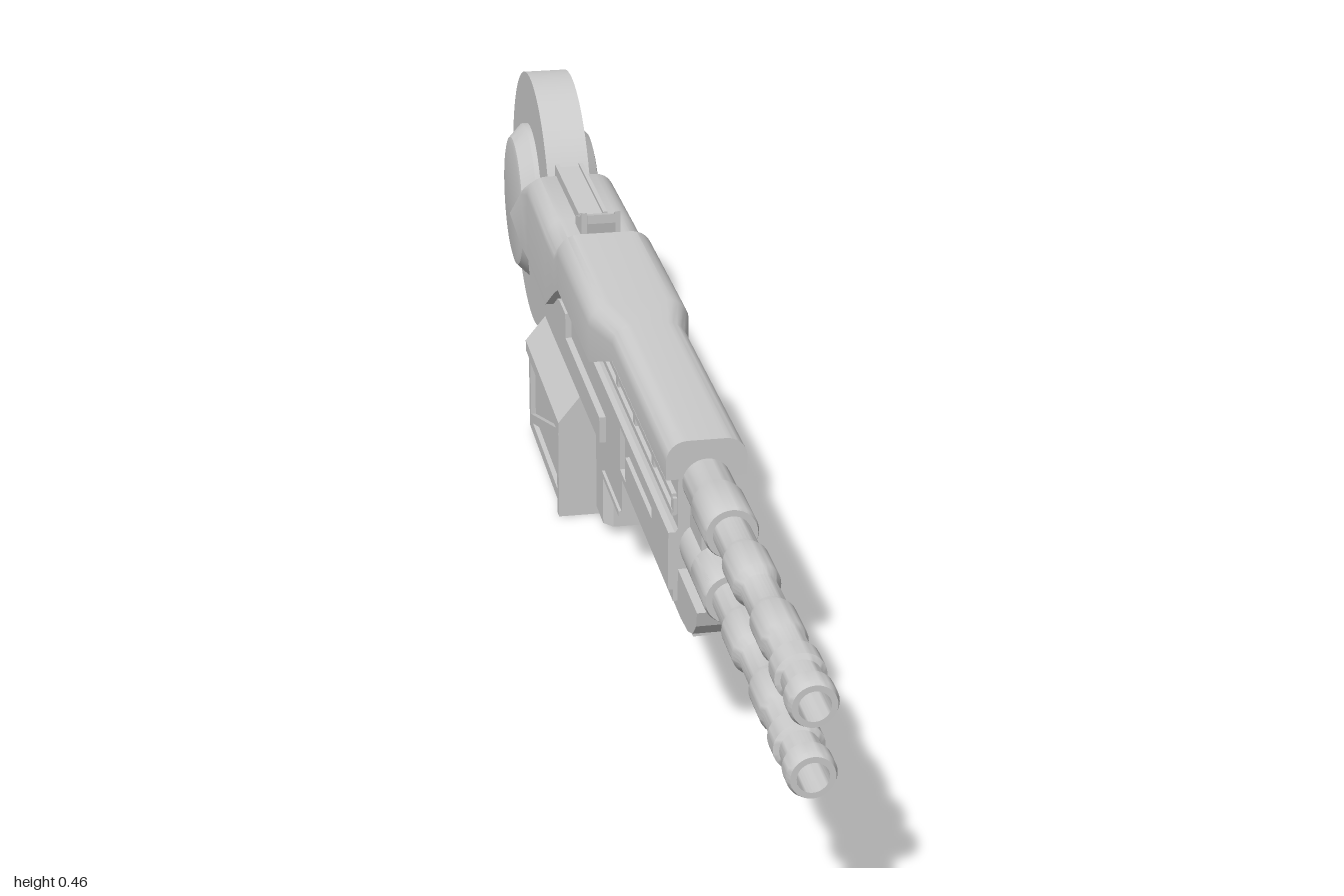
import * as THREE from 'three';
import { toCreasedNormals } from 'three/addons/utils/BufferGeometryUtils.js';

const mat = new THREE.MeshStandardMaterial({ color: 0xcccccc });

export function createModel() {
  const model = new THREE.Group();
  const add = (name, geo, x = 0, y = 0, z = 0) => {
    const m = new THREE.Mesh(geo, mat);
    m.name = name;
    m.position.set(x, y, z);
    model.add(m);
    return m;
  };
  // Box given by full width and its y and z ranges
  const box = (name, w, y0, y1, z0, z1, x = 0) =>
    add(name, new THREE.BoxGeometry(w, y1 - y0, z1 - z0), x, (y0 + y1) / 2, (z0 + z1) / 2);
  const poly = (pts) => new THREE.Shape(pts.map(([a, b]) => new THREE.Vector2(a, b)));
  // Side profile in (z, y), extruded across x
  const side = (name, pts, w, x = 0, holes = []) => {
    const s = poly(pts);
    s.holes = holes.map(poly);
    const g = new THREE.ExtrudeGeometry(s, { depth: w, bevelEnabled: false });
    g.rotateY(-Math.PI / 2);
    return add(name, g, x + w / 2);
  };
  // Half front profile in (x, y), mirrored and extruded along z
  const front = (name, half, z0, z1) => {
    const pts = [...half, ...half.map(([x, y]) => [-x, y]).reverse()];
    return add(name, new THREE.ExtrudeGeometry(poly(pts), { depth: z1 - z0, bevelEnabled: false }), 0, 0, z0);
  };
  // Loft of rounded-top sections [z, halfWidth, bottom, top, radius], front to back
  const loft = (name, sections) => {
    const pos = [], idx = [];
    const arc = 6, n = 2 * arc + 4;
    for (const [z, w, b, t, r] of sections) {
      const half = [[w, b]];
      for (let i = 0; i <= arc; i++) {
        const a = (i / arc) * Math.PI / 2;
        half.push([w - r + r * Math.cos(a), t - r + r * Math.sin(a)]);
      }
      for (const [x, y] of half) pos.push(x, y, z);
      for (const [x, y] of half.reverse()) pos.push(-x, y, z);
    }
    const last = (sections.length - 1) * n;
    for (let i = 0; i < last; i += n)
      for (let j = 0; j < n; j++) {
        const k = (j + 1) % n;
        idx.push(i + j, i + n + j, i + k, i + k, i + n + j, i + n + k);
      }
    for (let j = 1; j < n - 1; j++) idx.push(0, j, j + 1, last, last + j + 1, last + j);
    const g = new THREE.BufferGeometry();
    g.setAttribute('position', new THREE.Float32BufferAttribute(pos, 3));
    g.setIndex(idx);
    return add(name, toCreasedNormals(g, 0.5));
  };

  // Twin stepped barrels with open bores
  const barrelProfile = [
    [0.001, 0.9], [0.018, 0.9], [0.018, 1], [0.025, 1], [0.028, 0.993], [0.028, 0.972], [0.023, 0.968],
    [0.023, 0.938], [0.029, 0.934], [0.029, 0.905], [0.024, 0.9], [0.024, 0.865], [0.027, 0.855],
    [0.027, 0.8], [0.022, 0.785], [0.022, 0.73], [0.028, 0.715], [0.028, 0.655], [0.023, 0.64],
    [0.023, 0.58], [0.031, 0.58], [0.033, 0.575], [0.033, 0.5], [0.03, 0.49], [0.03, 0.35], [0.001, 0.35],
  ].reverse().map(([r, h]) => new THREE.Vector2(r, h));
  for (const [name, y] of [['upperBarrel', 0.33], ['lowerBarrel', 0.245]]) {
    const g = new THREE.LatheGeometry(barrelProfile, 32);
    g.rotateX(Math.PI / 2);
    add(name, toCreasedNormals(g, 0.5), 0, y);
  }
  const sleeve = new THREE.CylinderGeometry(0.033, 0.033, 0.15, 32);
  sleeve.rotateX(Math.PI / 2);
  add('lowerBarrelSleeve', sleeve, 0, 0.245, 0.5);
  box('barrelBridge', 0.04, 0.26, 0.32, 0.4, 0.5);

  // Rounded upper shroud, narrowing to a pointed stock over the wheel
  loft('upperShroud', [
    [0.43, 0.05, 0.335, 0.385, 0.026],
    [0.05, 0.05, 0.335, 0.385, 0.026],
    [-0.03, 0.068, 0.303, 0.385, 0.03],
    [-0.3, 0.068, 0.303, 0.385, 0.03],
    [-0.335, 0.068, 0.285, 0.365, 0.03],
    [-0.42, 0.068, 0.235, 0.365, 0.03],
    [-0.61, 0.066, 0.235, 0.365, 0.028],
    [-0.68, 0.066, 0.23, 0.33, 0.02],
    [-0.8, 0.066, 0.239, 0.245, 0.003],
  ]);

  // Vented core between the shroud and the receiver
  box('ventCore', 0.07, 0.25, 0.35, -0.45, 0.43);
  box('ventRailLower', 0.082, 0.283, 0.291, -0.4, 0.42);
  box('ventRailUpper', 0.082, 0.304, 0.312, -0.4, 0.42);
  for (let i = 0; i < 7; i++) box('ventBar', 0.08, 0.287, 0.308, -0.37 + i * 0.13, -0.355 + i * 0.13);

  // Receiver with slotted side plates
  front('receiver', [[0.04, 0.185], [0.04, 0.262], [0.03, 0.278]], -0.6, 0.43);
  const slot = [[0.32, 0.258], [0.09, 0.258], [0.09, 0.19], [0.13, 0.19], [0.13, 0.232], [0.32, 0.232]];
  const plate = [[0.43, 0.188], [-0.35, 0.188], [-0.45, 0.2], [-0.45, 0.265], [0.43, 0.265]];
  for (const s of [1, -1]) {
    side('sidePlate', plate, 0.008, s * 0.043, [slot.map(([z, y]) => [z, y < 0.2 ? 0.197 : y])]);
    box('slotInsert', 0.004, 0.236, 0.254, 0.14, 0.3, s * 0.041);
  }
  side('rearReceiver', [[-0.02, 0.188], [-0.62, 0.18], [-0.66, 0.18], [-0.69, 0.235],
    [-0.42, 0.25], [-0.36, 0.262], [-0.31, 0.262], [-0.31, 0.225], [-0.02, 0.225]], 0.112);
  side('stockCore', [[-0.3, 0.18], [-0.62, 0.18], [-0.7, 0.24], [-0.6, 0.35], [-0.3, 0.35]], 0.06);

  // Rounded fore-end with a toothed rail
  side('foreEnd', [[0.55, 0.215], [0.545, 0.195], [0.525, 0.175], [0.495, 0.163], [0.45, 0.158],
    [0.02, 0.158], [0.02, 0.2], [0.43, 0.215]], 0.07);
  box('foreEndFlange', 0.082, 0.172, 0.192, 0.02, 0.43);
  box('lowerRail', 0.042, 0.148, 0.16, 0.02, 0.48);
  for (let i = 0; i < 12; i++) box('railTooth', 0.046, 0.141, 0.15, 0.035 + i * 0.038, 0.05 + i * 0.038);

  // Stepped feed housing with chamfered front
  side('feedHousing', [[0.02, 0.2], [0.02, 0.1], [-0.12, 0.1], [-0.12, 0.09], [-0.2, 0.09], [-0.2, 0.2]], 0.064);
  box('feedHousingLip', 0.072, 0.092, 0.1, -0.12, 0.015);
  const column = new THREE.ExtrudeGeometry(
    poly([[0.032, 0.2], [0.032, 0.135], [0.02, 0.12], [-0.02, 0.12], [-0.032, 0.135], [-0.032, 0.2]]),
    { depth: 0.09, bevelEnabled: false });
  column.rotateX(-Math.PI / 2);
  add('feedColumn', column, 0, 0.012);

  // Ammunition box: inner box, chamfered cover, front flange, braced side frames
  box('ammoBox', 0.152, 0.014, 0.142, -0.49, -0.2);
  front('ammoCover', [[0.086, 0.13], [0.086, 0.146], [0.05, 0.19]], -0.505, -0.19);
  front('ammoFlange', [[0.086, 0], [0.086, 0.146], [0.05, 0.19]], -0.207, -0.192);
  const frame = [[-0.2, 0.012], [-0.495, 0.012], [-0.495, 0.135], [-0.2, 0.135]];
  const lowTri = [[-0.215, 0.028], [-0.215, 0.112], [-0.462, 0.028]];
  const highTri = [[-0.48, 0.12], [-0.48, 0.036], [-0.233, 0.12]];
  for (const s of [1, -1]) side('ammoBoxBrace', frame, 0.008, s * 0.079, [lowTri, highTri]);
  box('ammoBoxNeck', 0.1, 0.18, 0.2, -0.5, -0.19);

  // Rear sight and the grooved rail behind it
  box('topRail', 0.036, 0.355, 0.375, -0.62, -0.33);
  for (const s of [1, -1]) box('topRailEdge', 0.006, 0.36, 0.38, -0.62, -0.4, s * 0.018);
  side('sightBase', [[-0.33, 0.365], [-0.4, 0.365], [-0.4, 0.378], [-0.36, 0.39], [-0.325, 0.403], [-0.325, 0.39]], 0.04);
  for (const s of [1, -1])
    side('sightEar', [[-0.33, 0.37], [-0.385, 0.37], [-0.385, 0.382], [-0.345, 0.395], [-0.33, 0.405]], 0.008, s * 0.024);

  // Rear wheel with a bevelled hub on each side
  const wheel = new THREE.CylinderGeometry(0.2, 0.2, 0.064, 72);
  wheel.rotateZ(Math.PI / 2);
  add('wheel', wheel, 0, 0.262, -0.8);
  const hubProfile = [[0.001, -0.062], [0.092, -0.062], [0.1, -0.06], [0.12, -0.04], [0.12, 0.04], [0.1, 0.06],
    [0.092, 0.062], [0.001, 0.062]].map(([r, h]) => new THREE.Vector2(r, h));
  const hub = new THREE.LatheGeometry(hubProfile, 64);
  hub.rotateZ(Math.PI / 2);
  add('wheelHub', toCreasedNormals(hub, 0.4), 0, 0.262, -0.8);

  return model;
}
